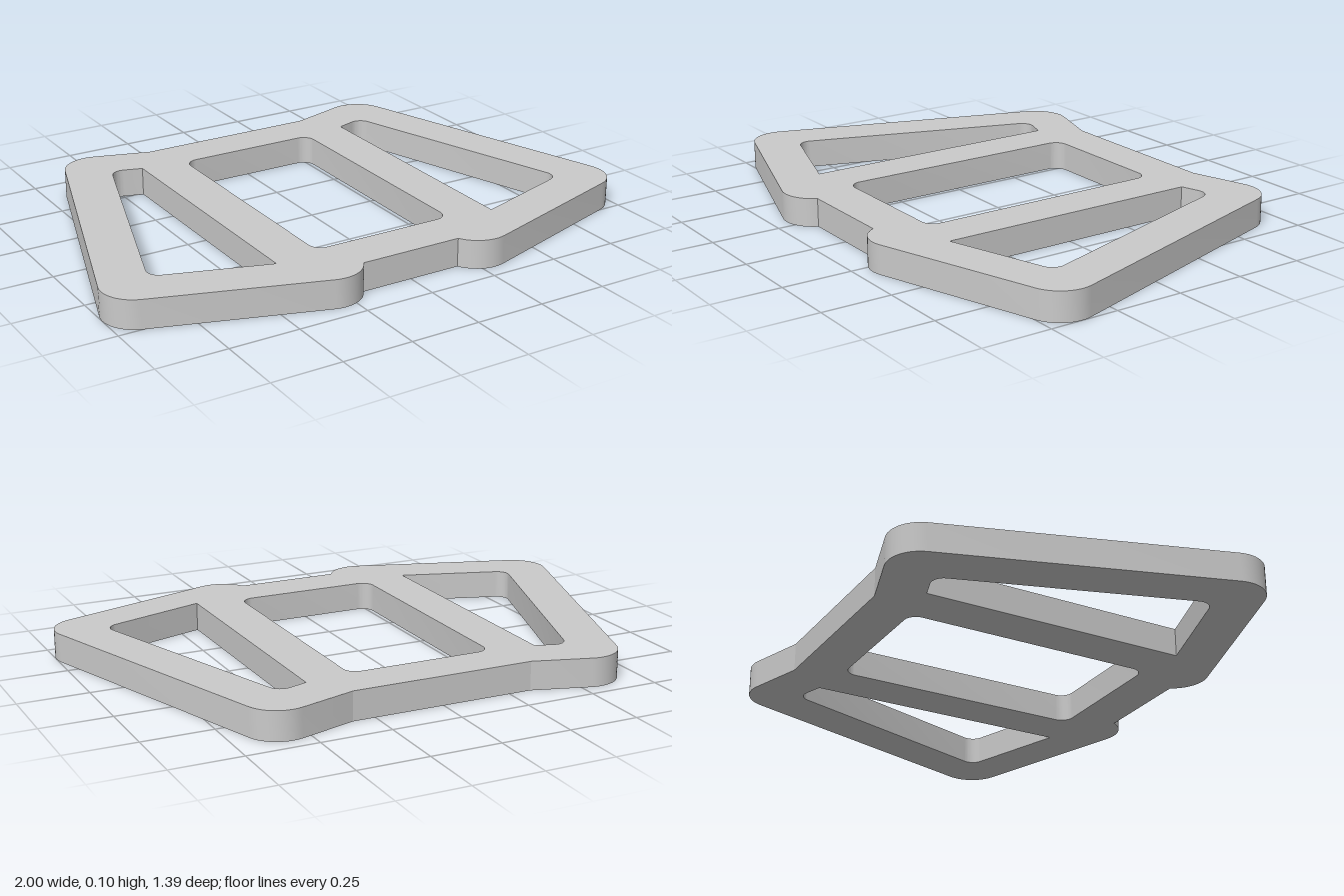
import * as THREE from 'three';
import { toCreasedNormals } from 'three/addons/utils/BufferGeometryUtils.js';

const HEIGHT = 0.103;
const V = (x, z) => new THREE.Vector2(x, z);

// Points along an arc from angle a to angle b
function arc(cx, cz, r, a, b, steps = 12) {
  const pts = [];
  for (let i = 0; i <= steps; i++) {
    const t = a + ((b - a) * i) / steps;
    pts.push(V(cx + r * Math.cos(t), cz + r * Math.sin(t)));
  }
  return pts;
}

// Tangent arc that rounds corner p between its neighbours
function fillet(prev, p, next, r) {
  const u = prev.clone().sub(p).normalize();
  const v = next.clone().sub(p).normalize();
  const half = Math.acos(u.dot(v)) / 2;
  const c = u.clone().add(v).normalize().multiplyScalar(r / Math.sin(half)).add(p);
  const len = r / Math.tan(half);
  const s = u.multiplyScalar(len).add(p).sub(c);
  const e = v.multiplyScalar(len).add(p).sub(c);
  const a = Math.atan2(s.y, s.x);
  const sweep = Math.atan2(s.cross(e), s.dot(e));
  return arc(c.x, c.y, r, a, a + sweep);
}

// Closed loop from [x, z, radius] corners
function roundedLoop(corners) {
  const pts = corners.map(([x, z]) => V(x, z));
  const n = pts.length;
  return pts.flatMap((p, i) => corners[i][2]
    ? fillet(pts[(i + n - 1) % n], p, pts[(i + 1) % n], corners[i][2])
    : [p]);
}

const mirror = (pts) => pts.map((p) => V(-p.x, p.y)).reverse();
// Plan (x, z) to shape (x, y), kept counter-clockwise so every wall faces outward
const toShape = (pts) => pts.map((p) => V(p.x, -p.y)).reverse();

export function createModel() {
  const grey = new THREE.MeshStandardMaterial({ color: 0xcacaca });
  grey.name = 'grey';

  // Left half of the outline: back notch, two rounded corners, front lobe
  const notch = V(0.33, -0.63);
  const back = V(0.646, -0.728);
  const side = V(1.031, 0.462);
  const front = V(0.332, 0.689);
  const half = [
    notch,
    ...fillet(notch, back, side, 0.12),
    ...fillet(back, side, front, 0.12),
    ...arc(0.295, 0.575, 0.12, 1.256, Math.PI - Math.asin(0.053 / 0.12)),
  ];
  const shape = new THREE.Shape(toShape([...half, ...mirror(half)]));

  // Centre slot and the two mirrored wing slots
  const centre = roundedLoop([
    [-0.265, -0.467, 0.045], [0.265, -0.467, 0.045],
    [0.265, 0.46, 0.045], [-0.265, 0.46, 0.045],
  ]);
  const wing = roundedLoop([
    [0.43, -0.49, 0], [0.539, -0.525, 0.045],
    [0.826, 0.358, 0.045], [0.43, 0.487, 0],
  ]);
  for (const hole of [centre, wing, mirror(wing)]) {
    shape.holes.push(new THREE.Path(toShape(hole)));
  }

  // Flat plate, laid down on the ground
  const geometry = new THREE.ExtrudeGeometry(shape, { depth: HEIGHT, bevelEnabled: false });
  geometry.rotateX(-Math.PI / 2);
  const plate = new THREE.Mesh(toCreasedNormals(geometry, 0.25), grey);
  plate.name = 'slottedPlate';

  const group = new THREE.Group();
  group.name = 'strapBuckle';
  group.add(plate);
  return group;
}
